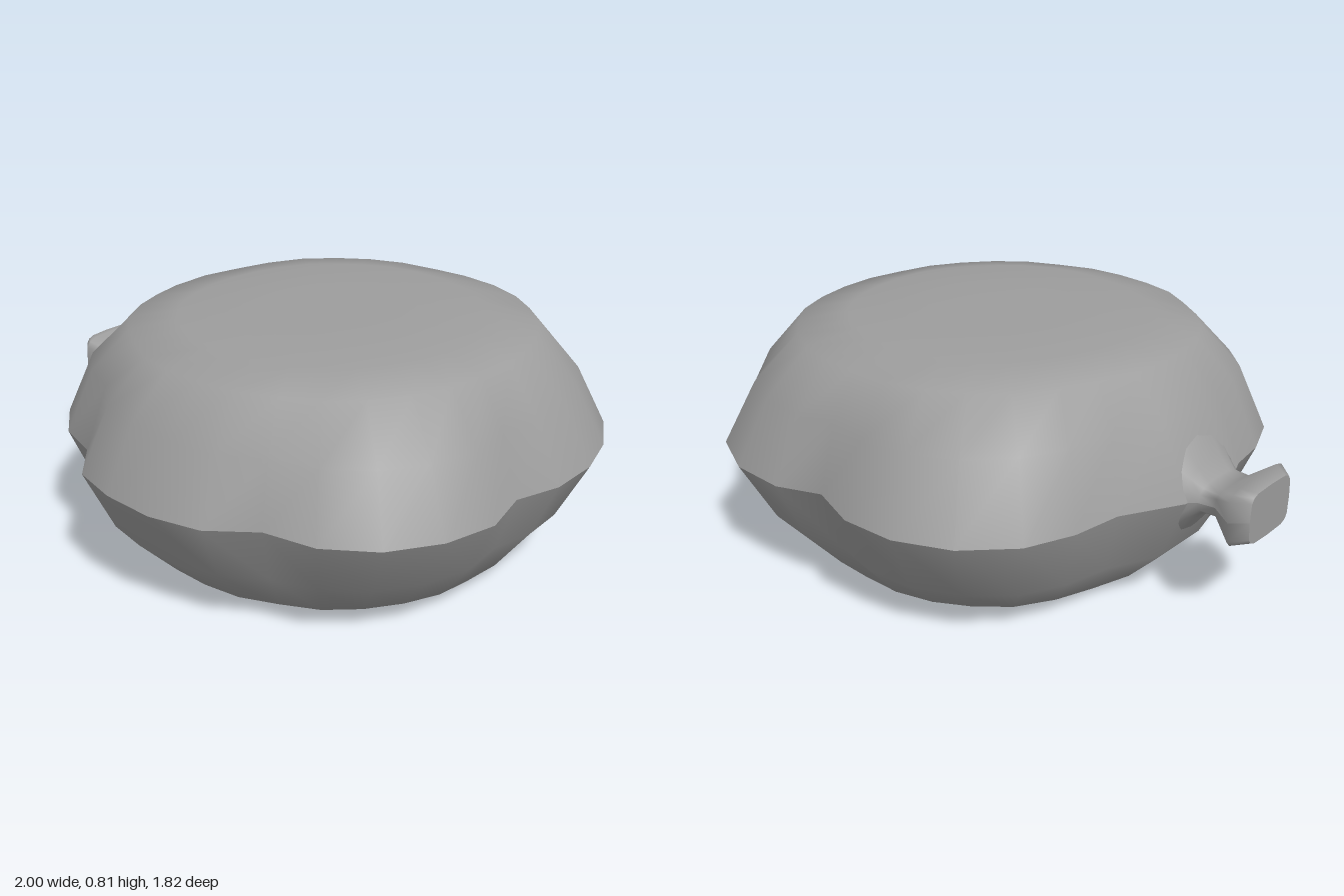
import * as THREE from 'three';

const SEAM = 0.405;

// Scalloped seam outline as [x, z], clockwise seen from above, starting beside the neck
const OUTLINE = [
  [-0.79, -0.15], [-0.68, -0.35], [-0.655, -0.52], [-0.59, -0.68], [-0.45, -0.82], [-0.27, -0.9],
  [-0.08, -0.91], [0.1, -0.85], [0.25, -0.91], [0.45, -0.905], [0.64, -0.82], [0.745, -0.66],
  [0.885, -0.55], [0.965, -0.37], [1, -0.19], [0.985, 0], [0.92, 0.155], [0.945, 0.335],
  [0.885, 0.51], [0.77, 0.66], [0.61, 0.755], [0.43, 0.775], [0.28, 0.875], [0.1, 0.905],
  [-0.09, 0.885], [-0.26, 0.83], [-0.38, 0.695], [-0.54, 0.63], [-0.675, 0.5], [-0.74, 0.34],
  [-0.76, 0.2], [-0.79, 0.12],
];

// Body rings from seam to middle: [scale, height, how far the scallops fade, extra height toward the neck]
const BODY_RINGS = [
  [1, 0, 0, 0], [0.915, 0.54, 0.3, 0.05], [0.8, 0.905, 0.8, 0.01],
  [0.615, 0.985, 1, 0], [0.3, 1, 1, 0], [0, 1, 1, 0],
];

// Neck sections from the body outward: [x, half height, half depth, roundness (low is boxy)]
const NECK_RINGS = [
  [-0.7, 0.19, 0.19, 1], [-0.74, 0.145, 0.18, 1], [-0.775, 0.095, 0.145, 0.9], [-0.815, 0.052, 0.112, 0.7],
  [-0.87, 0.045, 0.104, 0.5], [-0.95, 0.1, 0.16, 0.4], [-1, 0.088, 0.115, 0.4],
];

// Skins a list of rings; sign -1 mirrors the surface below the seam
function skin(name, rings, sign, closed) {
  const n = rings[0].length;
  const positions = [];
  const index = [];
  for (const ring of rings) for (const [x, y, z] of ring) positions.push(x, SEAM + sign * y, z);
  for (let k = 0; k < rings.length - 1; k++) {
    for (let i = 0; i < (closed ? n : n - 1); i++) {
      const j = (i + 1) % n;
      const a = k * n + i, b = k * n + j, c = a + n, d = b + n;
      if (sign > 0) index.push(a, c, b, b, c, d);
      else index.push(a, b, c, b, d, c);
    }
  }
  const geometry = new THREE.BufferGeometry();
  geometry.setAttribute('position', new THREE.Float32BufferAttribute(positions, 3));
  geometry.setIndex(index);
  geometry.computeVertexNormals();
  // Points gathered at the middle of the body share one vertical normal
  if (closed) {
    const normals = geometry.attributes.normal;
    for (let i = 0; i < n; i++) normals.setXYZ((rings.length - 1) * n + i, 0, sign, 0);
  }
  const mesh = new THREE.Mesh(geometry, new THREE.MeshStandardMaterial({ color: 0x9d9d9d, side: THREE.DoubleSide }));
  mesh.name = name;
  return mesh;
}

// Outline averaged over neighbours, used where the scallops fade out
function smoothed(points, reach) {
  const n = points.length;
  return points.map((_, i) => {
    let x = 0, z = 0;
    for (let o = -reach; o <= reach; o++) {
      const p = points[(i + o + n) % n];
      x += p[0];
      z += p[1];
    }
    return [x / (2 * reach + 1), z / (2 * reach + 1)];
  });
}

function bodyRings() {
  const soft = smoothed(OUTLINE, 3);
  const cx = 0.1;
  return BODY_RINGS.map(([scale, height, fade, lean]) => OUTLINE.map(([ox, oz], i) => {
    const x = cx + (THREE.MathUtils.lerp(ox, soft[i][0], fade) - cx) * scale;
    const z = THREE.MathUtils.lerp(oz, soft[i][1], fade) * scale;
    return [x, (height - lean * x) * (0.4 - 0.015 * z), z]; // slightly thicker toward the back
  }));
}

function neckRings() {
  const steps = 8;
  return NECK_RINGS.map(([x, h, w, round]) => Array.from({ length: steps + 1 }, (_, i) => {
    const c = Math.cos((i / steps) * Math.PI);
    const s = Math.abs(Math.sin((i / steps) * Math.PI));
    const y = i === steps ? 0 : h * s ** round;
    return [x, y, -0.008 - w * Math.sign(c) * Math.abs(c) ** round];
  }));
}

export function createModel() {
  const model = new THREE.Group();
  model.name = 'foilBalloon';

  const body = bodyRings();
  const neck = neckRings();
  const rim = neck[neck.length - 1];
  const end = [rim, rim.map(() => [-1, 0, -0.008])];

  // Upper and lower halves meet in a sharp seam
  for (const [side, sign] of [['upper', 1], ['lower', -1]]) {
    model.add(skin(side + 'Body', body, sign, true));
    model.add(skin(side + 'Neck', neck, sign, false));
    model.add(skin(side + 'NeckEnd', end, sign, false));
  }
  return model;
}
